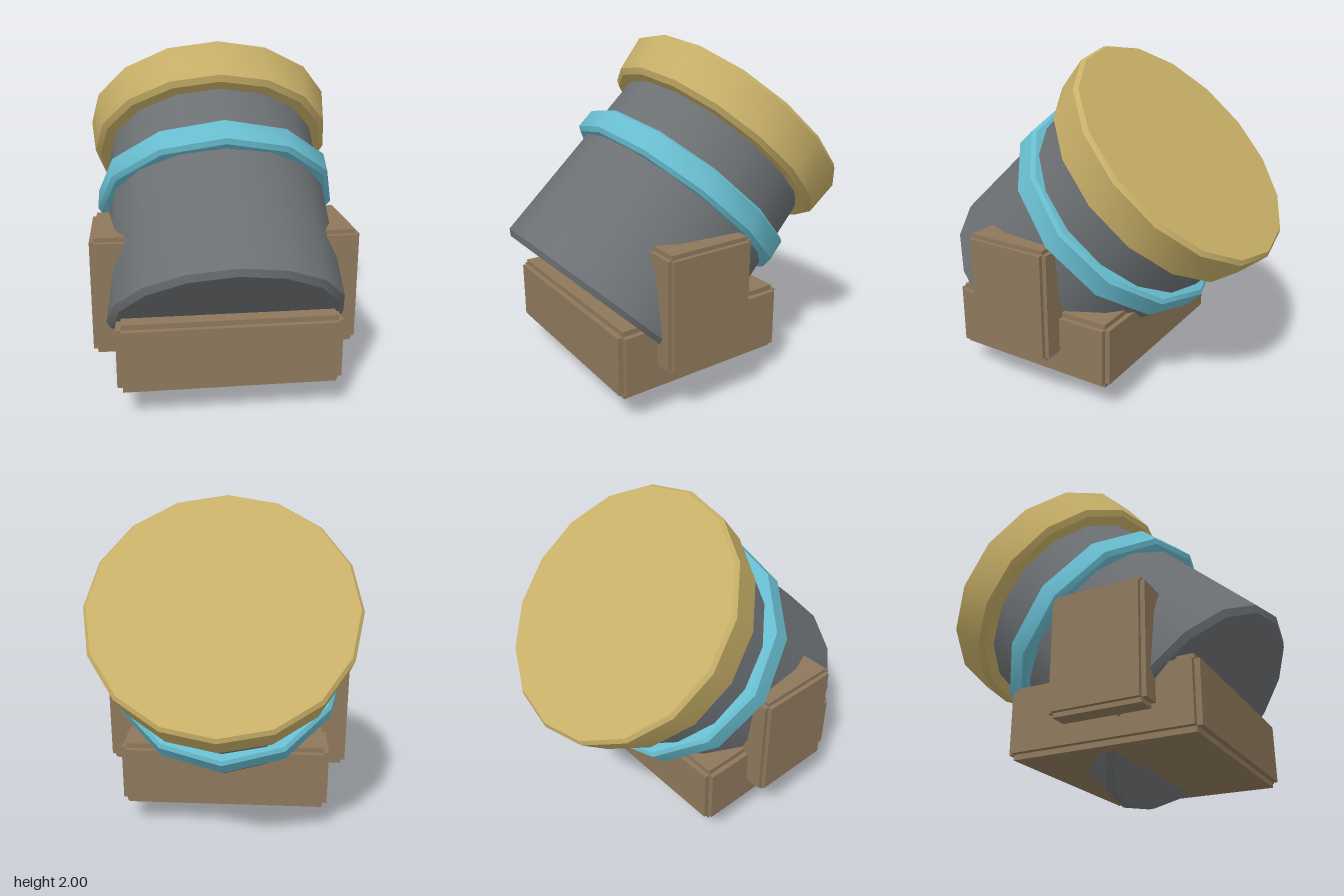
import * as THREE from 'three';
import { toCreasedNormals } from 'three/addons/utils/BufferGeometryUtils.js';

const mat = (name, color) => {
  const m = new THREE.MeshStandardMaterial({ color });
  m.name = name;
  return m;
};

// Turned part from [radius, height] points, with soft sides and sharp rims
function turned(name, points, sides, material) {
  const profile = points.map(([r, y]) => new THREE.Vector2(r, y));
  const geometry = toCreasedNormals(new THREE.LatheGeometry(profile, sides), 0.6);
  const mesh = new THREE.Mesh(geometry, material);
  mesh.name = name;
  return mesh;
}

// Block with notched edges: three crossing boxes, each full length on one axis
function notchedBlock(name, size, centre, material, notch = 0.025) {
  const group = new THREE.Group();
  group.name = name;
  for (let axis = 0; axis < 3; axis++) {
    const dims = size.map((s, i) => (i === axis ? s : s - 2 * notch));
    const mesh = new THREE.Mesh(new THREE.BoxGeometry(...dims), material);
    mesh.name = name + 'Slab';
    group.add(mesh);
  }
  group.position.set(...centre);
  return group;
}

export function createModel() {
  const grey = mat('barrel grey', 0x6d7174);
  const gold = mat('cap gold', 0xc8b068);
  const cyan = mat('ring cyan', 0x68bdd0);
  const brown = mat('mount brown', 0x8e785c);

  const model = new THREE.Group();
  model.name = 'tiltedMortar';

  // Tilted barrel assembly, leaning back at 45 degrees
  const barrel = new THREE.Group();
  barrel.name = 'barrelAssembly';
  barrel.position.set(0, 0.503, 0.503);
  barrel.rotation.x = -Math.PI / 4;
  barrel.add(
    turned('barrel', [[0, -0.05], [0.65, -0.05], [0.682, -0.02], [0.642, 1.13], [0, 1.13]], 16, grey),
    turned('ring', [[0.6, 0.7], [0.697, 0.7], [0.722, 0.722], [0.717, 0.842], [0.695, 0.86], [0.6, 0.86]], 12, cyan),
    turned('cap', [[0, 1.115], [0.705, 1.115], [0.737, 1.14], [0.76, 1.357], [0.741, 1.38], [0, 1.38]], 16, gold)
  );
  model.add(barrel);

  // Base and the two side supports
  model.add(notchedBlock('base', [1.25, 0.4, 1.09], [0, 0.37, 0.213], brown, 0.03));
  for (const side of [-1, 1]) {
    const name = side > 0 ? 'leftSupport' : 'rightSupport';
    model.add(notchedBlock(name, [0.3, 0.68, 0.545], [side * 0.605, 0.65, 0.262], brown));
  }
  return model;
}
